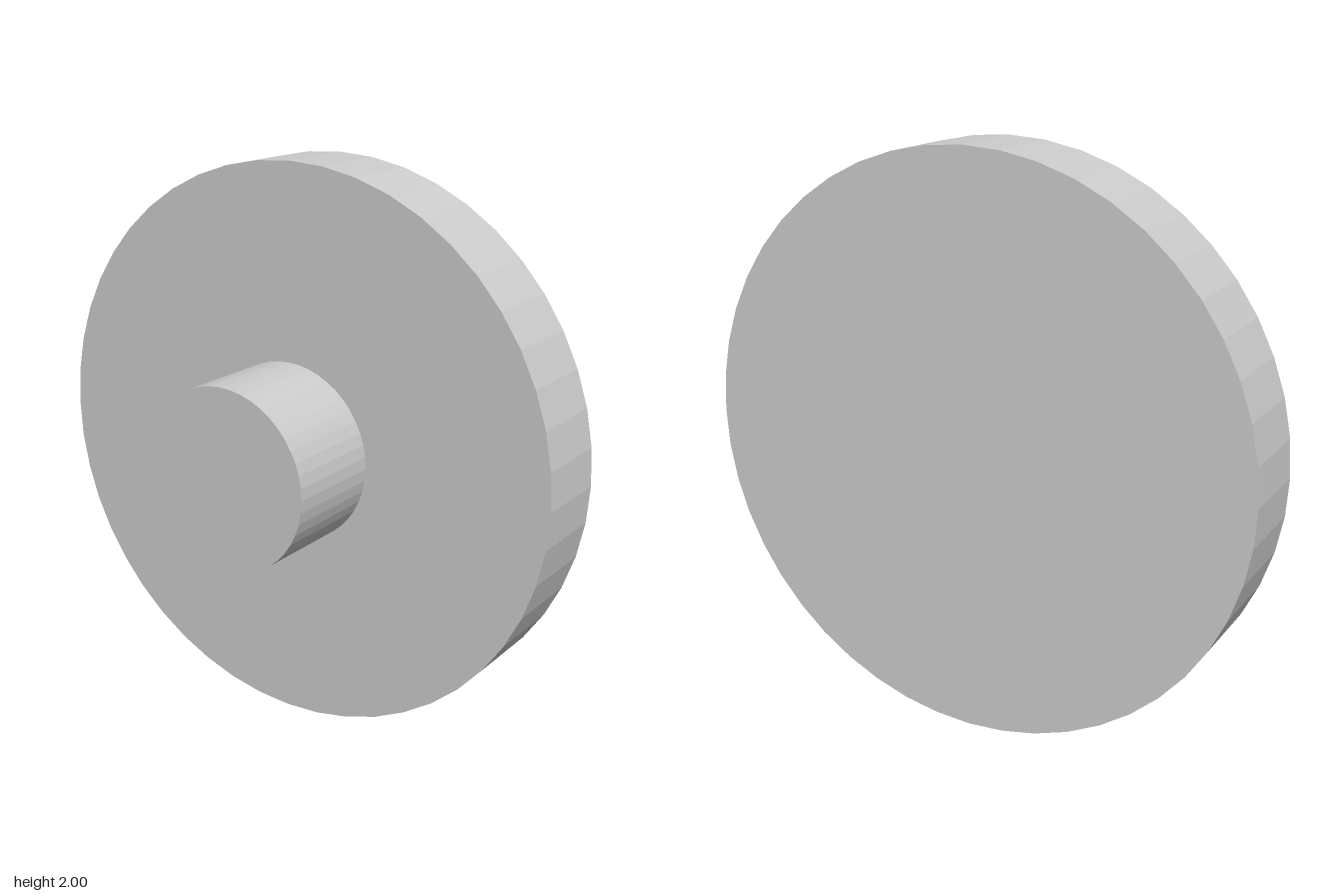
import * as THREE from 'three';

const SEGMENTS = 48;

// Faceted cylinder lying along x, spanning x0..x1
function axialCylinder(name, radius, x0, x1, material) {
  const geometry = new THREE.CylinderGeometry(radius, radius, x1 - x0, SEGMENTS);
  geometry.rotateZ(-Math.PI / 2);
  const mesh = new THREE.Mesh(geometry, material);
  mesh.name = name;
  mesh.position.set((x0 + x1) / 2, 1, 0);
  return mesh;
}

export function createModel() {
  const material = new THREE.MeshStandardMaterial({ color: 0xcccccc, flatShading: true });
  const group = new THREE.Group();
  group.name = 'flangedDisc';

  // Wide disc with a short round hub on one face
  group.add(axialCylinder('disc', 1, 0.038, 0.335, material));
  group.add(axialCylinder('hub', 0.32, -0.335, 0.038, material));
  return group;
}
